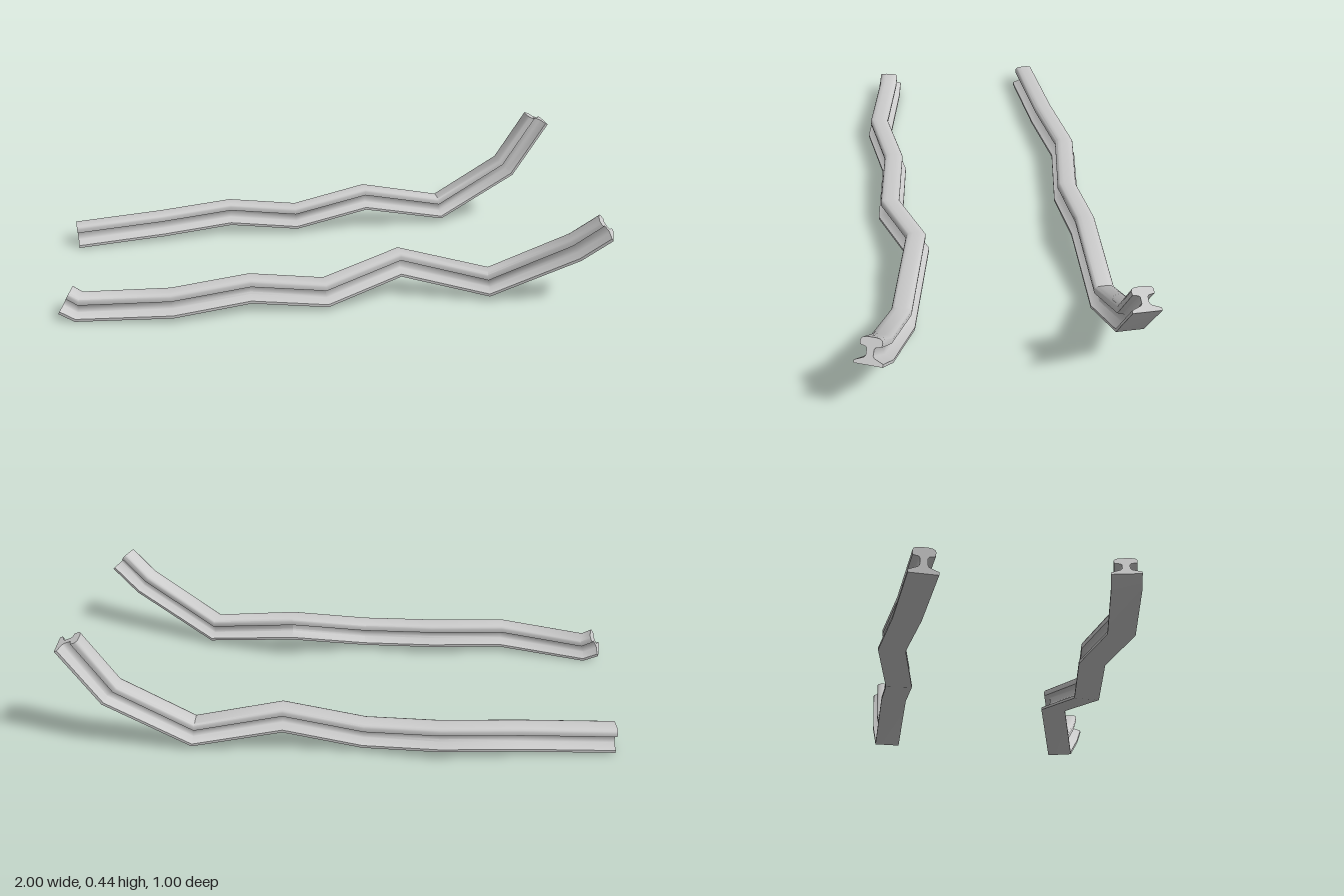
import * as THREE from 'three';
import { toCreasedNormals } from 'three/addons/utils/BufferGeometryUtils.js';

// Right half of the rail section (side, height), from the foot up to the crown
const half = [
  [0.047, 0], [0.047, 0.01], [0.016, 0.023], [0.012, 0.03], [0.012, 0.051],
  [0.016, 0.056], [0.035, 0.06], [0.036, 0.074], [0.033, 0.081], [0.026, 0.085], [0.012, 0.087],
];
const section = [...half, ...half.map(([s, u]) => [-s, u]).reverse()];

// Sweeps the section along a bent path that follows the underside of the foot
function buildRail(name, path, endTangent) {
  const points = path.map((p) => new THREE.Vector3(...p));
  const n = section.length;
  const last = points.length - 1;
  const positions = [];
  const index = [];

  points.forEach((p, i) => {
    // Mitre direction: average of the segments meeting here
    const tangent = new THREE.Vector3();
    if (i > 0) tangent.add(p.clone().sub(points[i - 1]).normalize());
    if (i < last) tangent.add(points[i + 1].clone().sub(p).normalize());
    if (i === last && endTangent) tangent.set(...endTangent);
    tangent.normalize();
    const side = new THREE.Vector3(-tangent.z, 0, tangent.x).normalize();
    const up = side.clone().cross(tangent);
    for (const [s, u] of section) {
      const v = p.clone().addScaledVector(side, s).addScaledVector(up, u);
      positions.push(v.x, v.y, v.z);
    }
  });

  // Skin between neighbouring sections
  for (let i = 0; i < last; i++) {
    for (let j = 0; j < n; j++) {
      const a = i * n + j;
      const b = i * n + ((j + 1) % n);
      index.push(a, a + n, b, b, a + n, b + n);
    }
  }

  // End faces
  const outline = section.map(([s, u]) => new THREE.Vector2(s, u));
  for (const [a, b, c] of THREE.ShapeUtils.triangulateShape(outline, [])) {
    index.push(a, b, c);
    index.push(last * n + a, last * n + c, last * n + b);
  }

  const geometry = new THREE.BufferGeometry();
  geometry.setAttribute('position', new THREE.Float32BufferAttribute(positions, 3));
  geometry.setIndex(index);
  const mesh = new THREE.Mesh(
    toCreasedNormals(geometry, 0.73),
    new THREE.MeshStandardMaterial({ color: 0xcccccc }),
  );
  mesh.name = name;
  return mesh;
}

export function createModel() {
  const group = new THREE.Group();
  group.name = 'bentRails';

  group.add(buildRail('frontRail', [
    [-0.99, 0.034, 0.197], [-0.935, 0.004, 0.209], [-0.6, 0.024, 0.281],
    [-0.32, 0.04, 0.248], [-0.05, 0.022, 0.29], [0.235, 0.086, 0.222],
    [0.56, 0.022, 0.314], [0.86, 0.188, 0.413], [0.957, 0.275, 0.452],
  ]));

  group.add(buildRail('backRail', [
    [-0.94, 0.008, -0.405], [-0.6, 0.024, -0.424], [-0.32, 0.04, -0.453],
    [-0.05, 0.022, -0.407], [0.235, 0.086, -0.407], [0.56, 0.022, -0.407],
    [0.86, 0.198, -0.407], [0.998, 0.413, -0.407],
  ], [0.38, 0.92, 0]));

  return group;
}
